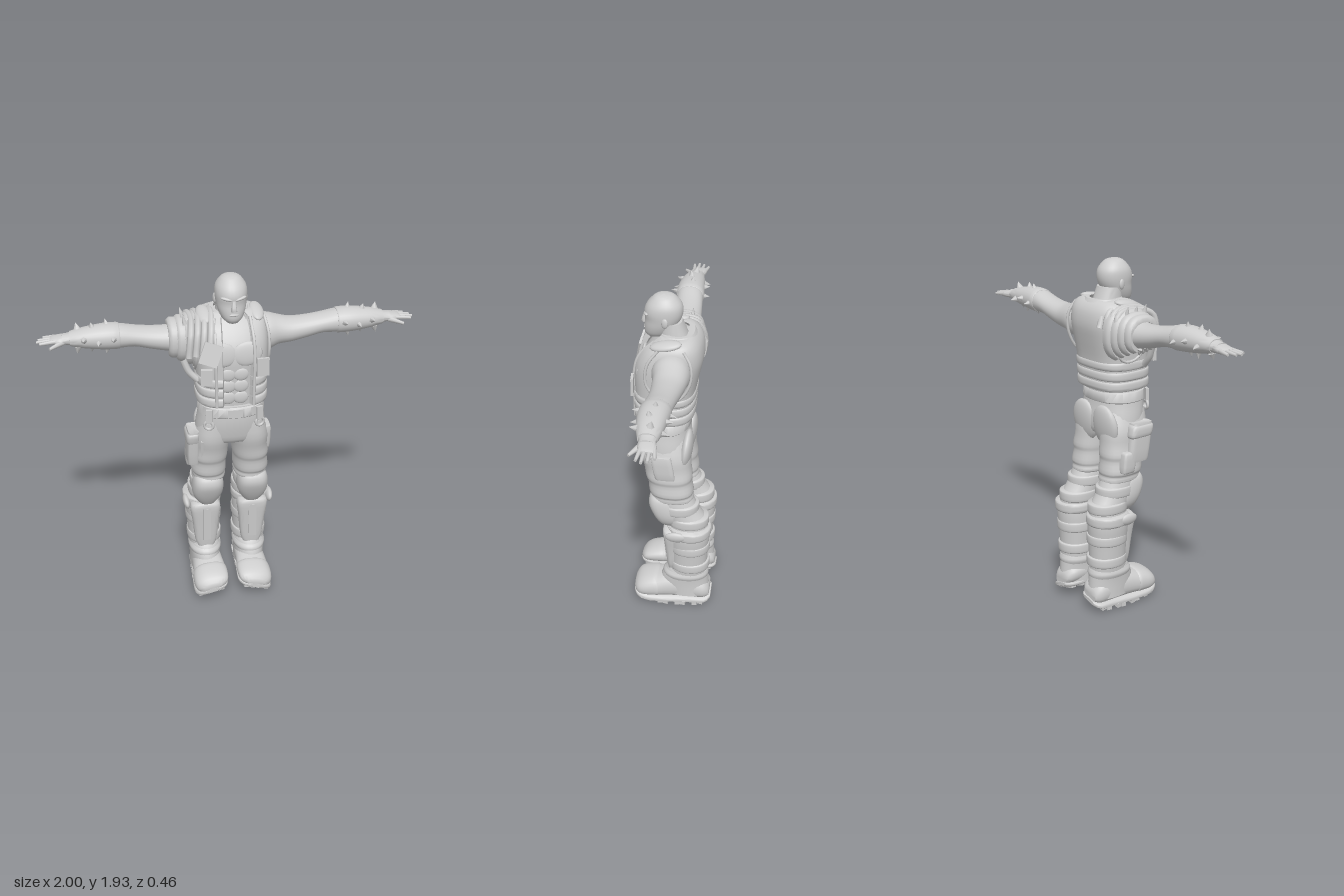
import * as THREE from 'three';
import { toCreasedNormals } from 'three/addons/utils/BufferGeometryUtils.js';

const grey = new THREE.MeshStandardMaterial({ color: 0xcecece });
grey.name = 'clay grey';
// Axis order: [along, cosine axis, sine axis]
const AXES = { x: [0, 2, 1], y: [1, 0, 2], z: [2, 1, 0] };

// Catmull-Rom subdivision of section rows
function refine(rows, steps) {
  const out = [], at = i => rows[Math.min(Math.max(i, 0), rows.length - 1)];
  for (let i = 0; i < rows.length - 1; i++) for (let s = 0; s < steps; s++) {
    const t = s / steps, a = at(i - 1), b = at(i), c = at(i + 1), d = at(i + 2);
    out.push(b.map((_, k) => 0.5 * (2 * b[k] + (c[k] - a[k]) * t
      + (2 * a[k] - 5 * b[k] + 4 * c[k] - d[k]) * t * t + (3 * b[k] - a[k] - 3 * c[k] + d[k]) * t ** 3)));
  }
  return [...out, at(rows.length - 1)];
}

// Skin rounded cross-sections [along, cosMin, cosMax, sinMin, sinMax].
// With arc = [start, end] in degrees it becomes an open band of the given wall.
function loft(axis, rows, { n = 28, power = 0.85, steps = 3, arc = null, wall = 0.02 } = {}) {
  const [A, C, S] = AXES[axis], secs = refine(rows, steps), last = secs.length - 1, pos = [], idx = [];
  const put = (t, c, s) => { const p = [0, 0, 0]; p[A] = t; p[C] = c; p[S] = s; pos.push(...p); };
  const bend = v => Math.sign(v) * Math.abs(v) ** power;
  for (const [t, c0, c1, s0, s1] of secs) for (let j = 0; j < n; j++) {
    const k = j < n / 2 ? j : n - 1 - j, inset = arc && j >= n / 2 ? wall : 0;
    const ang = arc ? THREE.MathUtils.degToRad(arc[0] + (arc[1] - arc[0]) * k / (n / 2 - 1)) : j / n * Math.PI * 2;
    put(t, (c0 + c1) / 2 + ((c1 - c0) / 2 - inset) * bend(Math.cos(ang)),
      (s0 + s1) / 2 + ((s1 - s0) / 2 - inset) * bend(Math.sin(ang)));
  }
  for (let i = 0; i < last; i++) for (let j = 0; j < n; j++) {
    const a = i * n + j, b = i * n + (j + 1) % n;
    idx.push(a, a + n, b, b, a + n, b + n);
  }
  for (const i of [0, last]) {
    const tri = (a, b, c) => i ? idx.push(a, c, b) : idx.push(a, b, c);
    if (arc) for (let j = 0; j < n / 2 - 1; j++) {
      const a = i * n + j, b = i * n + n - 1 - j;
      tri(a, a + 1, b); tri(a + 1, b - 1, b);
    } else {
      const [t, c0, c1, s0, s1] = secs[i], mid = pos.length / 3;
      put(t, (c0 + c1) / 2, (s0 + s1) / 2);
      for (let j = 0; j < n; j++) tri(mid, i * n + j, i * n + (j + 1) % n);
    }
  }
  const g = new THREE.BufferGeometry().setIndex(idx);
  g.setAttribute('position', new THREE.Float32BufferAttribute(pos, 3));
  return toCreasedNormals(g, 0.8);
}

// Mirror across x = 0, keeping faces outward
function mirrored(geo) {
  const g = geo.index ? geo.toNonIndexed() : geo.clone();
  for (const a of [g.attributes.position, g.attributes.normal]) for (let i = 0; i < a.count; i += 3) {
    const tri = [0, 2, 1].map(k => [-a.getX(i + k), a.getY(i + k), a.getZ(i + k)]);
    tri.forEach((p, k) => a.setXYZ(i + k, ...p));
  }
  return g;
}

// Slope a boot part so that its inner edge sits higher
function lean(g) {
  const p = g.attributes.position;
  for (let i = 0; i < p.count; i++) {
    const y = p.getY(i);
    p.setY(i, y + (.222 - p.getX(i)) * .33 * Math.max(0, 1 - y / .22));
  }
  return toCreasedNormals(g, .7);
}

const place = (g, p, r = [0, 0, 0]) => g.rotateX(r[0]).rotateY(r[1]).rotateZ(r[2]).translate(...p);
const box = (s, p, r) => place(new THREE.BoxGeometry(...s), p, r);
const ball = (s, p, r) => place(new THREE.SphereGeometry(1, 18, 12).scale(...s), p, r);
const tube = (pts, rad) => new THREE.TubeGeometry(new THREE.CatmullRomCurve3(pts.map(p => new THREE.Vector3(...p))), 24, rad, 8);
function taper(a, b, r0, r1, sides = 8) {
  const A = new THREE.Vector3(...a), B = new THREE.Vector3(...b), d = B.clone().sub(A);
  const g = new THREE.CylinderGeometry(r1, r0, d.length(), sides);
  g.applyQuaternion(new THREE.Quaternion().setFromUnitVectors(new THREE.Vector3(0, 1, 0), d.normalize()));
  return g.translate(...A.add(B).multiplyScalar(0.5).toArray());
}

export function createModel() {
  const model = new THREE.Group();
  const add = (name, g) => { const m = new THREE.Mesh(g, grey); m.name = name; model.add(m); };
  const pair = (name, g) => { add(name + 'Left', g); add(name + 'Right', mirrored(g)); };

  // Head and neck
  add('head', loft('y', [[1.697, -.03, .03, .08, .15], [1.72, -.055, .055, .03, .165], [1.76, -.072, .072, 0, .166],
    [1.8, -.08, .08, -.024, .162], [1.84, -.084, .084, -.034, .166], [1.88, -.079, .079, -.028, .152],
    [1.915, -.056, .056, 0, .122], [1.93, -.034, .034, .025, .1], [1.936, -.004, .004, .06, .07]], { power: .95 }));
  add('neck', loft('y', [[1.62, -.1, .1, -.1, .1], [1.69, -.077, .077, -.07, .09], [1.79, -.07, .07, -.03, .1]]));
  add('nose', loft('y', [[1.768, -.016, .016, .14, .174], [1.778, -.016, .016, .14, .183], [1.825, -.009, .009, .14, .168]], { n: 12 }));
  add('lips', ball([.026, .008, .008], [0, 1.748, .162]));
  pair('brow', ball([.033, .009, .012], [.036, 1.833, .152], [0, .3, .2]));
  pair('ear', ball([.01, .028, .018], [.081, 1.805, .05], [0, -.2, 0]));

  // Bare torso
  add('torso', loft('y', [[1.14, -.165, .165, -.07, .17], [1.25, -.16, .16, -.08, .18], [1.4, -.17, .17, -.09, .188],
    [1.5, -.19, .19, -.11, .195], [1.58, -.195, .195, -.12, .18], [1.66, -.18, .18, -.11, .13], [1.71, -.12, .12, -.09, .08]]));
  pair('chestMuscle', ball([.08, .065, .016], [.066, 1.54, .184], [-.12, 0, .15]));
  for (let i = 0; i < 3; i++) pair('abdominal' + i, ball([.04, .036, .011], [.034, 1.29 + i * .068, .181 + i * .003]));

  // Open vest with padded lower ribs, collar and pockets
  const open = { n: 72, power: .7, arc: [103, 427], wall: .028 };
  add('vest', loft('y', [[1.25, -.183, .183, -.098, .212], [1.4, -.188, .188, -.108, .214], [1.52, -.195, .195, -.132, .217],
    [1.6, -.196, .196, -.146, .202], [1.67, -.188, .188, -.138, .16], [1.71, -.168, .168, -.115, .105], [1.73, -.13, .13, -.09, .075]], open));
  for (let i = 0; i < 3; i++) {
    const y = 1.247 + i * .056, e = -.106 - i * .003;
    add('vestRib' + i, loft('y', [[y, -.184, .184, -.098, .212], [y + .01, -.191, .191, e, .22],
      [y + .042, -.191, .191, e, .22], [y + .052, -.184, .184, -.098, .212]], open));
  }
  add('collar', loft('y', [[1.67, -.125, .125, -.125, .12], [1.705, -.118, .118, -.115, .1], [1.735, -.1, .1, -.095, .08]], { n: 60, arc: [125, 415] }));
  pair('shoulderPad', ball([.04, .022, .085], [.14, 1.712, .035], [.2, 0, -.2]));
  pair('vestEdge', tube([[.098, 1.25, .207], [.1, 1.4, .209], [.102, 1.52, .208], [.1, 1.62, .182], [.095, 1.71, .1]], .009));
  pair('armholeTrim', tube([[.175, 1.7, .07], [.19, 1.62, .125], [.192, 1.5, .13], [.188, 1.42, .06], [.19, 1.42, -.03],
    [.193, 1.52, -.095], [.189, 1.63, -.1], [.17, 1.7, -.06]], .008));
  add('vestPocket', box([.065, .1, .014], [.145, 1.47, .211], [0, .1, 0]));
  add('chestPatch', box([.1, .115, .012], [-.128, 1.56, .212], [-.2, -.1, -.35]));
  add('chestPouch', box([.06, .09, .022], [-.15, 1.43, .207], [0, -.15, 0]));

  // Arms with spiked forearm guards
  pair('arm', loft('x', [[.1, -.09, .1, 1.48, 1.68], [.2, -.1, .1, 1.48, 1.68], [.26, -.095, .085, 1.505, 1.662],
    [.33, -.085, .08, 1.515, 1.646], [.42, -.075, .075, 1.535, 1.65], [.5, -.068, .077, 1.556, 1.662], [.58, -.062, .085, 1.556, 1.68],
    [.66, -.056, .088, 1.56, 1.682], [.76, -.045, .075, 1.572, 1.668], [.84, -.033, .052, 1.59, 1.647], [.87, -.033, .05, 1.592, 1.643]], { power: .95 }));
  pair('forearmGuard', loft('x', [[.575, -.063, .086, 1.554, 1.681], [.59, -.066, .09, 1.552, 1.686], [.66, -.06, .092, 1.556, 1.687],
    [.76, -.049, .079, 1.569, 1.673], [.83, -.037, .06, 1.584, 1.655]], { power: .95 }));
  for (let i = 0; i < 3; i++) for (let j = 0; j < 4; j++) {
    const x = .6 + i * .075 + (j % 2) * .03, a = j * Math.PI / 2 + [.15, -.1, .2][i], s = 1 - (x - .6) * .8;
    const at = r => [x + r * .01, 1.62 + Math.sin(a) * .066 * s * r, .015 + Math.cos(a) * .077 * s * r];
    pair('spike' + i + j, taper(at(.85), at(1.42), .02, .001, 6));
  }
  // Hands
  pair('palm', loft('x', [[.84, -.03, .045, 1.594, 1.642], [.88, -.042, .05, 1.594, 1.637], [.915, -.042, .04, 1.597, 1.63],
    [.93, -.038, .036, 1.602, 1.624]]));
  for (const [i, [z, x, z2]] of [[-.032, .965, -.045], [-.011, .99, -.015], [.011, 1, .013], [.031, .985, .04]].entries())
    pair('finger' + i, taper([.9, 1.616, z], [x, 1.61, z2], .0125, .0075));
  pair('thumb', taper([.865, 1.61, .035], [.935, 1.598, .082], .016, .008));

  // Layered pauldron and shoulder straps on the right
  for (let i = 0; i < 4; i++) {
    const x = -.325 + i * .04, e = i * .012, lo = 1.49 - e * 1.7, hi = 1.67 + e * .8, sx = -.1 - i * .035, d = i * .01;
    add('pauldronBand' + i, loft('x', [[x, -.096 - e, .094 + e, lo, hi], [x + .018, -.108 - e, .108 + e, lo - .012, hi + .014],
      [x + .052, -.106 - e, .106 + e, lo - .01, hi + .012]], { n: 48, arc: [-60, 240] }));
    add('shoulderStrap' + i, tube([[sx - .03, 1.56 - d, .195 - d], [sx - .015, 1.67 - d / 2, .145], [sx, 1.722 - d, .03],
      [sx - .01, 1.69 - d / 2, -.085], [sx - .02, 1.6 - d, -.135 + d]], .018));
  }
  for (let i = 0; i < 3; i++) add('shoulderStud' + i, taper([-.24, 1.68, -.05 + i * .06], [-.252, 1.725, -.052 + i * .062], .015, .001, 6));
  add('hangingStrap', tube([[-.26, 1.5, .11], [-.23, 1.43, .115], [-.185, 1.38, .12]], .018));

  // Trousers, belt and pouches
  add('hips', loft('y', [[.985, -.1, .1, -.06, .1], [1.01, -.185, .185, -.085, .165], [1.08, -.19, .19, -.09, .188],
    [1.16, -.178, .178, -.078, .198], [1.24, -.168, .168, -.07, .195]]));
  pair('buttock', ball([.1, .12, .035], [.085, 1.045, -.066], [-.12, 0, 0]));
  pair('trouserLeg', loft('y', [[.735, .045, .195, -.1, .1], [.75, .025, .208, -.115, .122], [.775, .028, .206, -.108, .122], [.795, .022, .216, -.113, .132],
    [.86, .022, .208, -.102, .138], [.89, .016, .214, -.106, .15], [.95, .012, .205, -.098, .16], [1.03, .005, .203, -.092, .18], [1.13, .015, .17, -.06, .18]]));
  add('belt', loft('y', [[1.175, -.176, .176, -.08, .202], [1.18, -.181, .181, -.084, .207], [1.23, -.176, .176, -.08, .207],
    [1.235, -.17, .17, -.075, .202]], { steps: 1 }));
  add('buckle', box([.08, .046, .01], [0, 1.205, .206]));
  pair('beltLoop', box([.035, .075, .016], [.135, 1.19, .183], [0, .35, 0]));
  pair('beltRing', place(new THREE.TorusGeometry(.023, .008, 8, 18), [.138, 1.135, .18], [0, .3, 0]));
  const pouch = (y0, y1, z0, z1, x0, x1, slope) => loft('y', [[y0, x0 + .012, x1, z0 + .01 - slope, z1 - .01 - slope], [y0 + .015, x0, x1, z0 - slope, z1 - slope],
    [y1 - .015, x0, x1, z0, z1], [y1, x0 + .012, x1, z0 + .01, z1 - .01]], { power: .4 });
  add('thighPouch', pouch(.86, 1.07, .01, .14, -.244, -.18, .025));
  add('thighPouchFlap', pouch(.99, 1.065, .002, .145, -.25, -.18, .01));
  add('thighPouchSide', pouch(.8, .92, -.05, .03, -.24, -.18, .01));
  add('cargoPocket', mirrored(pouch(.91, 1.06, 0, .11, -.219, -.17, .02)));
  add('thighPatch', box([.08, .11, .012], [-.135, .97, .148], [.22, -.2, 0]));

  // Knees and shins
  const round = { power: .95 };
  pair('knee', loft('y', [[.53, .05, .22, -.2, .02], [.6, .042, .214, -.194, .03], [.66, .04, .21, -.156, .065],
    [.72, .038, .207, -.125, .095], [.765, .045, .2, -.105, .1]], round));
  pair('kneePad', loft('y', [[.565, .085, .17, -.03, .065], [.6, .06, .198, -.05, .088], [.65, .042, .213, -.05, .114],
    [.71, .04, .212, -.04, .135], [.755, .052, .2, -.02, .126], [.775, .08, .175, 0, .1]], { power: .75 }));
  pair('shin', loft('y', [[.2, .045, .215, -.195, .03], [.3, .042, .224, -.198, .015], [.4, .038, .23, -.202, .02],
    [.5, .036, .24, -.209, .028], [.56, .045, .235, -.205, .03]], round));
  pair('shinPlate', loft('y', [[.255, .085, .18, -.04, .025], [.3, .07, .195, -.05, .03], [.42, .06, .208, -.05, .042],
    [.53, .05, .222, -.05, .053], [.555, .08, .195, -.04, .045]], { power: .6 }));
  pair('shinRidge', box([.045, .22, .012], [.132, .415, .041], [.07, 0, 0]));
  for (const [i, [y, x1, z0, z1]] of [[.295, .23, -.21, .018], [.425, .237, -.211, .02], [.54, .25, -.217, .02],
    [.605, .221, -.202, .03], [.69, .215, -.146, .085]].entries())
    pair('legStrap' + i, loft('y', [[y - .028, .036, x1 - .005, z0 + .006, z1 - .006], [y - .02, .032, x1, z0, z1],
      [y + .02, .032, x1, z0, z1], [y + .028, .036, x1 - .005, z0 + .006, z1 - .006]], round));
  pair('shinFlange', ball([.02, .035, .06], [.238, .54, -.03], [0, 0, -.2]));

  // Boots with lugged soles that curve up at toe and heel
  pair('bootShaft', loft('y', [[.08, .045, .215, -.215, .06], [.17, .045, .215, -.208, .07], [.24, .042, .218, -.2, .04], [.27, .055, .205, -.185, .02]], round));
  pair('bootCuff', loft('y', [[.2, .042, .218, -.203, .055], [.222, .035, .225, -.208, .055], [.245, .042, .218, -.2, .035]], round));
  pair('bootFoot', lean(loft('z', [[-.215, .05, .12, .08, .18], [-.18, .035, .17, .052, .205], [-.08, .03, .2, .045, .21],
    [.02, .03, .195, .04, .215], [.09, .03, .172, .034, .22], [.16, .032, .152, .032, .222], [.2, .04, .125, .045, .208], [.217, .05, .095, .08, .175]])));
  pair('toeCap', lean(loft('z', [[.08, .03, .168, .034, .222], [.1, .03, .176, .03, .225], [.16, .032, .158, .03, .225],
    [.2, .04, .132, .042, .21], [.221, .055, .1, .08, .175]])));
  pair('sole', lean(loft('z', [[-.224, .035, .06, .085, .175], [-.19, .018, .058, .05, .206], [-.08, .01, .054, .046, .21],
    [.04, .01, .054, .038, .22], [.15, .016, .058, .03, .224], [.205, .028, .064, .05, .205], [.224, .042, .068, .085, .17]], { power: .6 })));
  for (let i = 0; i < 8; i++) {
    const z = -.175 + i * .05, w = .17 - Math.abs(z) ** 2 * .8;
    pair('soleLug' + i, lean(box([w, .024, .03], [.129, .012 + z * z * .35, z], [0, i % 2 ? .12 : -.12, 0])));
  }
  return model;
}
